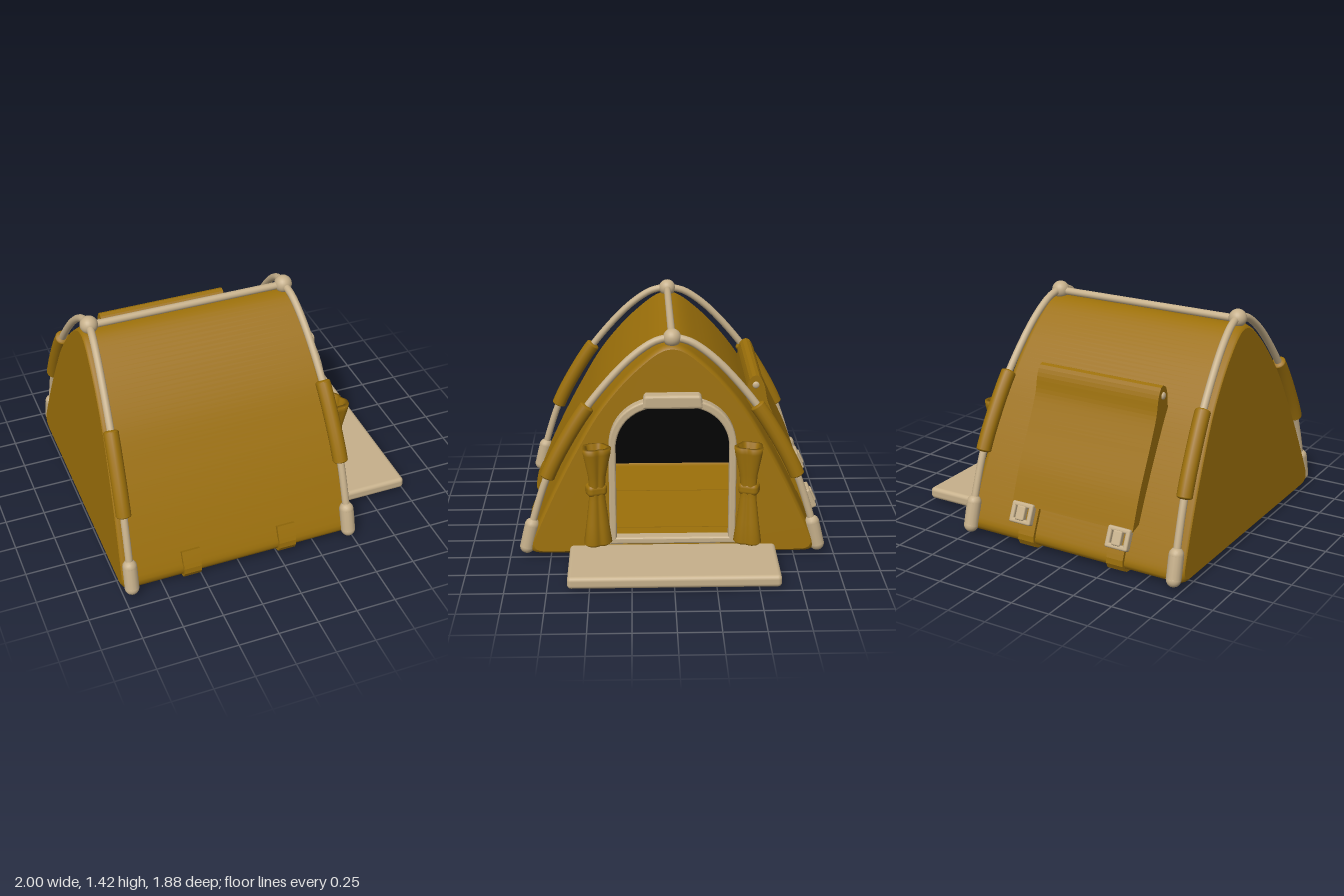
import * as THREE from 'three';
import { RoundedBoxGeometry } from 'three/addons/geometries/RoundedBoxGeometry.js';

const mat = (name, color, side = THREE.FrontSide) => {
  const m = new THREE.MeshStandardMaterial({ color, side });
  m.name = name;
  return m;
};
const V2 = (x, y) => new THREE.Vector2(x, y);
const CX = -0.245;                          // middle of the tent along x
const bodyHalf = (y) => 0.757 - 0.062 * y;  // end walls lean inwards
const poleX = (e, z) => CX + e * (0.622 + (e > 0 ? 0.105 : 0.09) * z);  // poles splay towards the ground

// Half outline (z, y) from the floor centre, round the hem, up to the ridge
const half = [V2(0, 0.02), ...new THREE.SplineCurve([
  [0.82, 0.02], [0.865, 0.03], [0.885, 0.065], [0.87, 0.12], [0.8, 0.28], [0.71, 0.47], [0.6, 0.68],
  [0.46, 0.92], [0.3, 1.12], [0.15, 1.26], [0.06, 1.32], [0, 1.333],
].map((p) => V2(...p))).getSpacedPoints(60)];
const back = half.map((p) => V2(-p.x, p.y));
const outline = [...half, ...back.slice(1, -1).reverse()];

export function createModel() {
  const root = new THREE.Group();
  root.name = 'tent';
  const canvas = mat('mustard canvas', 0x9c700a);
  const canvasOpen = mat('mustard canvas sheet', 0x9c700a, THREE.DoubleSide);
  const ivory = mat('ivory plastic', 0xc6b08b);
  const black = mat('black lining', 0x030303);

  const add = (name, geo, material, parent = root) => {
    const m = new THREE.Mesh(geo, material);
    m.name = name;
    parent.add(m);
    return m;
  };
  const shapeOf = (pts) => new THREE.Shape(pts.map((p) => V2(-p.x, p.y)));

  // Round rod along points, with domed ends
  const rod = (name, pts, r, material, dome = 1) => {
    const g = new THREE.Group();
    g.name = name;
    const curve = new THREE.CatmullRomCurve3(pts);
    add(name + 'Tube', new THREE.TubeGeometry(curve, 48, r, 14), material, g);
    for (const t of [0, 1]) {
      const end = add(name + 'End', new THREE.SphereGeometry(r, 14, 10), material, g);
      end.scale.z = dome;
      end.position.copy(curve.getPoint(t));
      end.lookAt(end.position.clone().add(curve.getTangent(t)));
    }
    root.add(g);
  };

  // Slab with a (z, y) section, from x0 to x1
  const slab = (name, section, x0, x1, material) => {
    const geo = new THREE.ExtrudeGeometry(shapeOf(section), { depth: x1 - x0, bevelEnabled: false });
    return add(name, geo.rotateY(Math.PI / 2).translate(x0, 0, 0), material);
  };

  // Band that follows a stretch of the outline, between two offsets from it
  const band = (name, path, x0, x1, lo, hi, material) => {
    const shift = (d) => path.map((p, i) => {
      const a = path[Math.max(i - 1, 0)], b = path[Math.min(i + 1, path.length - 1)];
      const t = b.clone().sub(a).normalize();
      return V2(p.x - t.y * d, p.y + t.x * d);
    });
    return slab(name, [...shift(lo), ...shift(hi).reverse()], x0, x1, material);
  };

  // Canvas shell: rings of the outline, eased in at both ends
  const rings = [[-1, 0, 0.965], [-1, 0.01, 0.985], [-1, 0.035, 1], [1, 0.035, 1], [1, 0.01, 0.985], [1, 0, 0.965]];
  const n = outline.length, pos = [], idx = [];
  const inset = (p, k) => V2(p.x * k, 0.6 + (p.y - 0.6) * k);
  rings.forEach(([s, d, k], i) => outline.forEach((p, j) => {
    const q = inset(p, k);
    pos.push(CX + s * (bodyHalf(q.y) - d), q.y, q.x);
    if (i < rings.length - 1) {
      const a = i * n + j, b = i * n + (j + 1) % n;
      idx.push(a, a + n, b, b, a + n, b + n);
    }
  }));
  const shell = new THREE.BufferGeometry();
  shell.setAttribute('position', new THREE.Float32BufferAttribute(pos, 3));
  shell.setIndex(idx);
  shell.computeVertexNormals();
  add('canvasShell', shell, canvasOpen);

  // Arched door outline
  const arch = (w, y0, y1, Type) => {
    const s = new Type(), r = 0.27 * w / 0.345;
    s.moveTo(-w, y0);
    s.lineTo(w, y0);
    s.lineTo(w, y1 - r);
    s.bezierCurveTo(w, y1 - r * 0.4, w - r * 0.45, y1, w - r, y1);
    s.lineTo(r - w, y1);
    s.bezierCurveTo(r * 0.45 - w, y1, -w, y1 - r * 0.4, -w, y1 - r);
    s.closePath();
    return s;
  };

  // End walls, and the dark lining inside the closed end
  const wall = (name, s, facing, gap, hole, material) => {
    const shape = shapeOf(outline.map((p) => inset(p, 0.965)));
    if (hole) shape.holes.push(hole);
    const geo = new THREE.ShapeGeometry(shape, 16).rotateY(facing * Math.PI / 2);
    const p = geo.attributes.position;
    for (let i = 0; i < p.count; i++) p.setX(i, CX + s * (bodyHalf(p.getY(i)) - gap));
    geo.computeVertexNormals();
    add(name, geo, material);
  };
  wall('doorWall', 1, 1, 0, arch(0.35, 0.11, 0.985, THREE.Path), canvasOpen);
  wall('closedWall', -1, -1, 0, null, canvasOpen);
  wall('closedWallLining', -1, 1, 0.02, null, black);
  band('innerPatch', back.filter((p) => p.y > 0.08 && p.y < 0.34), -0.31, -0.05, -0.003, -0.01, black);

  // Door frame and its top block
  const frame = arch(0.375, 0.1, 1.01, THREE.Shape);
  frame.holes.push(arch(0.355, 0.12, 0.985, THREE.Path));
  const frameGeo = new THREE.ExtrudeGeometry(frame, {
    depth: 0.05, bevelThickness: 0.014, bevelSize: 0.012, bevelSegments: 4, curveSegments: 16 });
  add('doorFrame', frameGeo.rotateY(Math.PI / 2).translate(0.459, 0, 0), ivory);
  const blockGeo = new RoundedBoxGeometry(0.09, 0.085, 0.355, 3, 0.018);
  const bp = blockGeo.attributes.position;
  for (let i = 0; i < bp.count; i++) {
    const z = bp.getZ(i);
    bp.setZ(i, z * (1 - 0.8 * bp.getY(i)));
    bp.setY(i, bp.getY(i) - 0.6 * z * z);
  }
  blockGeo.computeVertexNormals();
  add('doorTopBlock', blockGeo, ivory).position.set(0.486, 1.022, 0);

  // Entrance mat
  add('entranceMat', new RoundedBoxGeometry(0.48, 0.075, 1.26, 3, 0.025), ivory).position.set(0.76, 0.055, 0);
  add('matHinge', new RoundedBoxGeometry(0.08, 0.05, 1.1, 2, 0.02), ivory).position.set(0.52, 0.055, 0);

  // Gathered curtains beside the door: hollow rolls with a groove at the front
  const fold = [[0, 0.11], [0.07, 0.11], [0.085, 0.125], [0.068, 0.25], [0.05, 0.4], [0.046, 0.46], [0.054, 0.56],
    [0.082, 0.7], [0.086, 0.735], [0.062, 0.737], [0.03, 0.56], [0, 0.52]].map((p) => V2(...p));
  const foldGeo = new THREE.LatheGeometry(fold, 64);
  const fp = foldGeo.attributes.position;
  for (let i = 0; i < fp.count; i++) {
    const a = Math.atan2(fp.getZ(i), fp.getX(i));
    const k = 1 - 0.4 * Math.max(0, Math.cos(a)) ** 10 + 0.06 * Math.cos(5 * a);
    fp.setX(i, fp.getX(i) * k);
    fp.setZ(i, fp.getZ(i) * k);
  }
  foldGeo.computeVertexNormals();
  for (const s of [1, -1]) {
    const g = new THREE.Group();
    g.name = s > 0 ? 'frontCurtain' : 'backCurtain';
    add('curtainFolds', foldGeo, canvas, g);
    add('curtainTie', new RoundedBoxGeometry(0.095, 0.08, 0.125, 3, 0.03), canvas, g).position.set(-0.01, 0.465, 0);
    g.position.set(0.55, 0, s * 0.46);
    g.rotation.y = s * 0.35;
    root.add(g);
  }

  // Arched poles with sleeves, feet and ridge balls
  const polePts = [[0.897, 0.063], [0.85, 0.25], [0.76, 0.52], [0.643, 0.75], [0.5, 0.97], [0.3, 1.2],
    [0.13, 1.333], [0, 1.37]];
  const poleCurve = new THREE.SplineCurve(polePts.map((p) => V2(...p))).getSpacedPoints(80);
  for (const e of [1, -1]) {
    for (const s of [1, -1]) {
      const pts = poleCurve.map((p) => new THREE.Vector3(poleX(e, p.x), p.y, s * p.x));
      const part = (lo, hi) => pts.filter((p) => p.y >= lo && p.y <= hi);
      rod('pole', pts, 0.023, ivory);
      rod('poleSleeve', part(0.505, 0.965), 0.047, canvas, 0.35);
      rod('poleFoot', part(0.05, 0.215), 0.045, ivory);
    }
    add('ridgeBall', new THREE.SphereGeometry(0.055, 24, 16), ivory).position.set(poleX(e, 0), 1.365, 0);
  }
  rod('ridgePole', [-0.85, 0.36].map((x) => new THREE.Vector3(x, 1.36, 0)), 0.023, ivory);

  // Window flap on the back slope, curling over a roll pin at its top
  const flapOuter = new THREE.SplineCurve([[-0.868, 0.27], [-0.79, 0.48], [-0.685, 0.7], [-0.605, 0.88], [-0.577, 1.0],
    [-0.54, 1.06], [-0.492, 1.045], [-0.472, 0.99]].map((p) => V2(...p))).getSpacedPoints(40);
  const flapInner = back.filter((p) => p.y > 0.28 && p.y < 0.93).reverse();
  slab('windowFlap', [...flapOuter, ...flapInner], -0.66, 0.175, canvas);
  rod('flapPin', [-0.663, 0.178].map((x) => new THREE.Vector3(x, 1.0, -0.525)), 0.022, ivory, 0.5);

  // Straps under the floor, with buckles at the back
  const strapPath = [...half.slice(1).filter((p) => p.y < 0.2).reverse(), ...back.slice(1).filter((p) => p.y < 0.27)];
  const loopPath = half.slice(1).filter((p) => p.y > 0.1 && p.y < 0.21).reverse();
  for (const [x, buckleX] of [[-0.56, -0.58], [0.06, 0.09]]) {
    band('strap', strapPath, x - 0.055, x + 0.055, -0.004, 0.02, canvas);
    band('strapLoop', loopPath, x - 0.058, x + 0.058, 0, 0.026, canvas);
    const buckle = new THREE.Group();
    buckle.name = 'buckle';
    for (const y of [-0.05, 0.05]) {
      add('buckleBar', new RoundedBoxGeometry(0.15, 0.03, 0.05, 2, 0.012), ivory, buckle).position.y = y;
      add('buckleSide', new RoundedBoxGeometry(0.03, 0.12, 0.05, 2, 0.012), ivory, buckle).position.x = y * 1.2;
    }
    add('buckleTongue', new RoundedBoxGeometry(0.06, 0.09, 0.04, 2, 0.01), ivory, buckle).position.z = -0.015;
    buckle.position.set(buckleX, 0.225, -0.885);
    buckle.rotation.x = 0.42;
    root.add(buckle);
  }
  return root;
}
